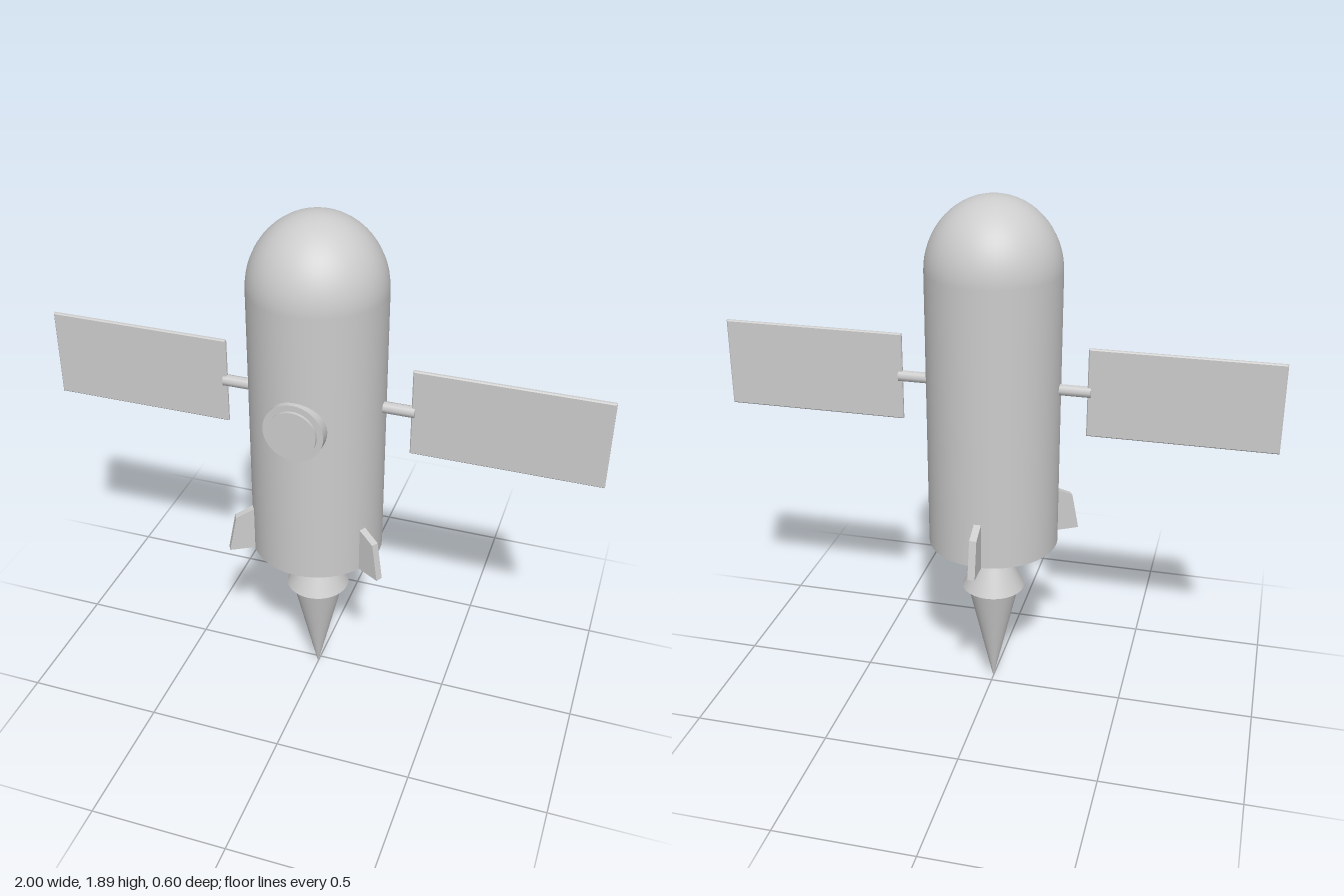
import * as THREE from 'three';

export function createModel() {
  const root = new THREE.Group();
  root.name = 'rocketSatellite';
  const grey = new THREE.MeshStandardMaterial({ color: 0xcccccc });
  grey.name = 'light grey';

  const model = new THREE.Group();
  model.name = 'rocket';
  model.position.z = 0.03;
  root.add(model);

  const add = (name, geometry, x = 0, y = 0, z = 0, parent = model) => {
    const mesh = new THREE.Mesh(geometry, grey);
    mesh.name = name;
    mesh.position.set(x, y, z);
    parent.add(mesh);
    return mesh;
  };
  // Round section standing between two heights
  const section = (name, rTop, rBottom, y0, y1, open = false) =>
    add(name, new THREE.CylinderGeometry(rTop, rBottom, y1 - y0, 48, 1, open), 0, (y0 + y1) / 2);

  // Hull and nose dome
  const R = 0.238;
  section('hull', R, R, 0.618, 1.637);
  const dome = new THREE.SphereGeometry(R, 48, 16, 0, Math.PI * 2, 0, Math.PI / 2);
  dome.scale(1, 0.258 / R, 1);
  add('noseDome', dome, 0, 1.637);

  // Engine: collar, flared bell, exhaust cone
  section('engineCollar', 0.072, 0.06, 0.537, 0.63);
  section('engineBell', 0.06, 0.116, 0.418, 0.537);
  const flame = new THREE.ConeGeometry(0.097, 0.42, 48);
  flame.rotateX(Math.PI);
  add('exhaustCone', flame, 0, 0.21);

  // Porthole: rim with a slightly raised pane
  const disc = (name, r, z0, z1) => {
    const g = new THREE.CylinderGeometry(r, r, z1 - z0, 40);
    g.rotateX(Math.PI / 2);
    add(name, g, 0, 1.225, (z0 + z1) / 2);
  };
  disc('portholeRim', 0.106, 0.2, 0.256);
  disc('portholePane', 0.084, 0.25, 0.267);

  // Solar wings: thin bevelled panel on a strut, one each side
  const bevel = 0.004;
  const w = 0.665, h = 0.322;
  const panelShape = new THREE.Shape();
  panelShape.moveTo(-w / 2 + bevel, -h / 2 + bevel);
  panelShape.lineTo(w / 2 - bevel, -h / 2 + bevel);
  panelShape.lineTo(w / 2 - bevel, h / 2 - bevel);
  panelShape.lineTo(-w / 2 + bevel, h / 2 - bevel);
  panelShape.closePath();
  const panel = new THREE.ExtrudeGeometry(panelShape, {
    depth: 0.008, bevelEnabled: true, bevelSize: bevel, bevelThickness: bevel, bevelSegments: 1,
  });
  panel.translate(0, 0, -0.004);
  const strut = new THREE.CylinderGeometry(0.021, 0.021, 0.148, 8);
  strut.rotateZ(Math.PI / 2);
  for (const [side, s] of [['left', 1], ['right', -1]]) {
    add(side + 'SolarPanel', panel, s * 0.6675, 1.226);
    add(side + 'Strut', strut, s * 0.274, 1.228);
  }

  // Three tail fins, spaced evenly with one at the back
  const finShape = new THREE.Shape([
    [0.2, 0.618], [0.33, 0.618], [0.303, 0.758], [0.235, 0.79], [0.2, 0.79],
  ].map(([x, y]) => new THREE.Vector2(x, y)));
  const fin = new THREE.ExtrudeGeometry(finShape, { depth: 0.026, bevelEnabled: false });
  fin.translate(0, 0, -0.013);
  ['backFin', 'rightFin', 'leftFin'].forEach((name, i) => {
    add(name, fin).rotation.y = Math.PI / 2 + i * Math.PI * 2 / 3;
  });

  return root;
}
